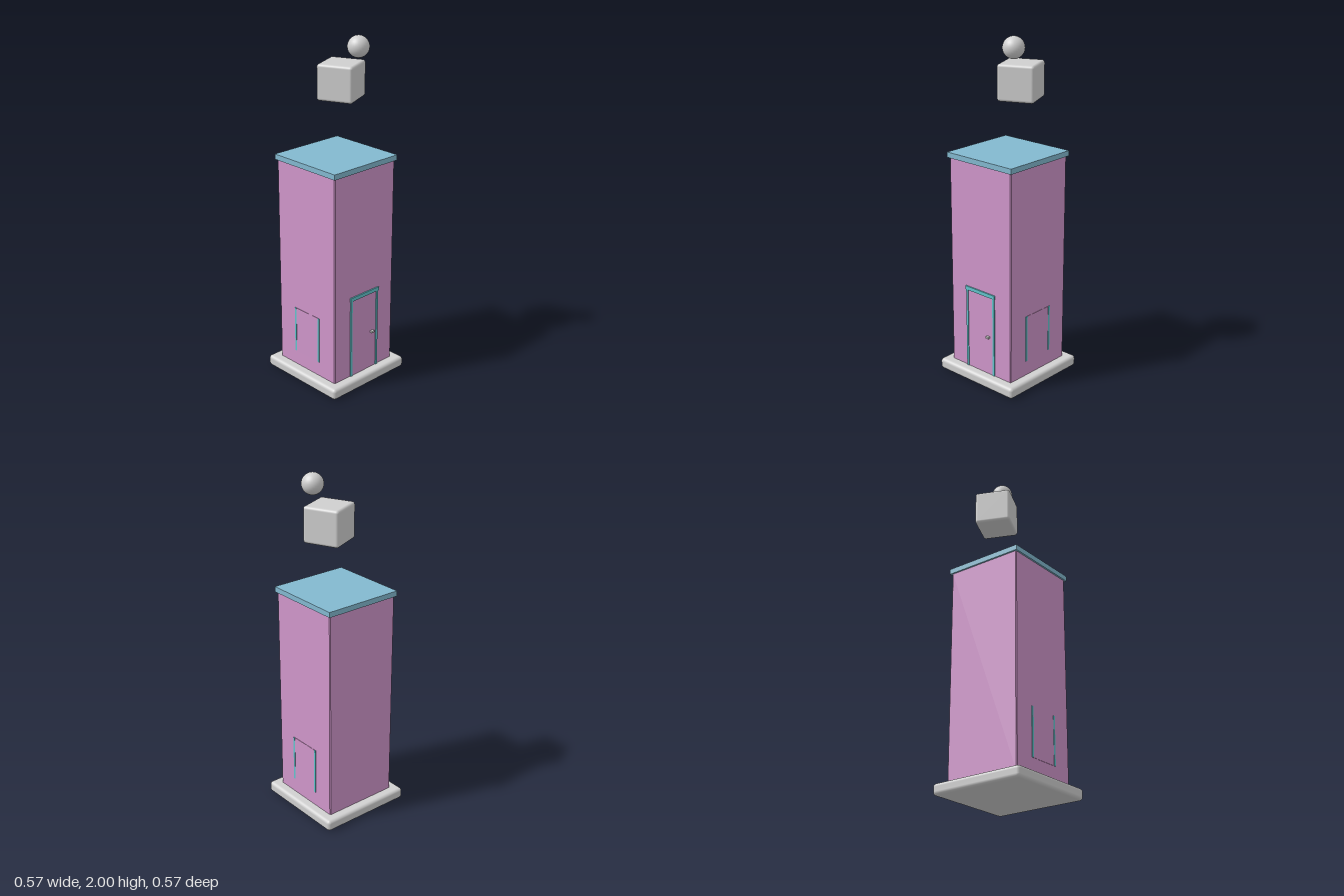
import * as THREE from 'three';
import { RoundedBoxGeometry } from 'three/addons/geometries/RoundedBoxGeometry.js';

export function createModel() {
  const model = new THREE.Group();
  const material = (name, color) => {
    const m = new THREE.MeshStandardMaterial({ color });
    m.name = name;
    return m;
  };
  const stone = material('pale grey', 0xd0d0d0);
  const pink = material('wall pink', 0xd096cb);
  const blue = material('roof blue', 0x83b9d0);
  const teal = material('trim teal', 0x62c4cc);

  const add = (name, geometry, mat, x, y, z, parent = model) => {
    const mesh = new THREE.Mesh(geometry, mat);
    mesh.name = name;
    mesh.position.set(x, y, z);
    parent.add(mesh);
    return mesh;
  };
  const box = (w, h, d) => new THREE.BoxGeometry(w, h, d);

  // Plinth with softened edges
  add('plinth', new RoundedBoxGeometry(0.572, 0.066, 0.572, 4, 0.02), stone, 0, 0.033, 0);

  // Tower walls: square plan with tiny chamfered corners
  const h = 0.23, c = 0.225;
  const plan = new THREE.Shape([
    [c, -h], [h, -c], [h, c], [c, h], [-c, h], [-h, c], [-h, -c], [-c, -h],
  ].map(([x, y]) => new THREE.Vector2(x, y)));
  const walls = new THREE.ExtrudeGeometry(plan, { depth: 1.248, bevelEnabled: false });
  walls.rotateX(-Math.PI / 2);
  add('walls', walls, pink, 0, 0.06, 0);

  // Flat overhanging roof
  add('roof', box(0.48, 0.031, 0.48), blue, 0, 1.3225, 0);

  // Door with jambs, lintel and handle
  const door = new THREE.Group();
  door.name = 'door';
  model.add(door);
  add('doorPanel', box(0.19, 0.484, 0.004), pink, 0, 0.306, 0.23, door);
  for (const s of [-1, 1]) {
    add('doorJamb', box(0.014, 0.484, 0.01), teal, s * 0.102, 0.306, 0.231, door);
  }
  add('lintel', box(0.226, 0.022, 0.014), teal, 0, 0.558, 0.231, door);
  add('doorHandle', box(0.019, 0.012, 0.018), stone, 0.062, 0.299, 0.238, door);

  // Side windows: thin pane between two upright bars
  for (const s of [-1, 1]) {
    const win = new THREE.Group();
    win.name = s > 0 ? 'leftWindow' : 'rightWindow';
    model.add(win);
    add('windowPane', box(0.004, 0.28, 0.18), pink, s * 0.23, 0.295, 0.002, win);
    for (const z of [0.098, -0.094]) {
      add('windowBar', box(0.008, 0.28, 0.013), teal, s * 0.23, 0.295, z, win);
    }
  }

  // Turned block floating above the roof, and the ball over it
  const block = add('floatingBlock', new RoundedBoxGeometry(0.21, 0.204, 0.21, 4, 0.016), stone, 0.068, 1.743, -0.029);
  block.rotation.y = 0.415;
  add('floatingBall', new THREE.SphereGeometry(0.061, 32, 16), stone, 0.102, 1.939, 0.068);

  return model;
}
